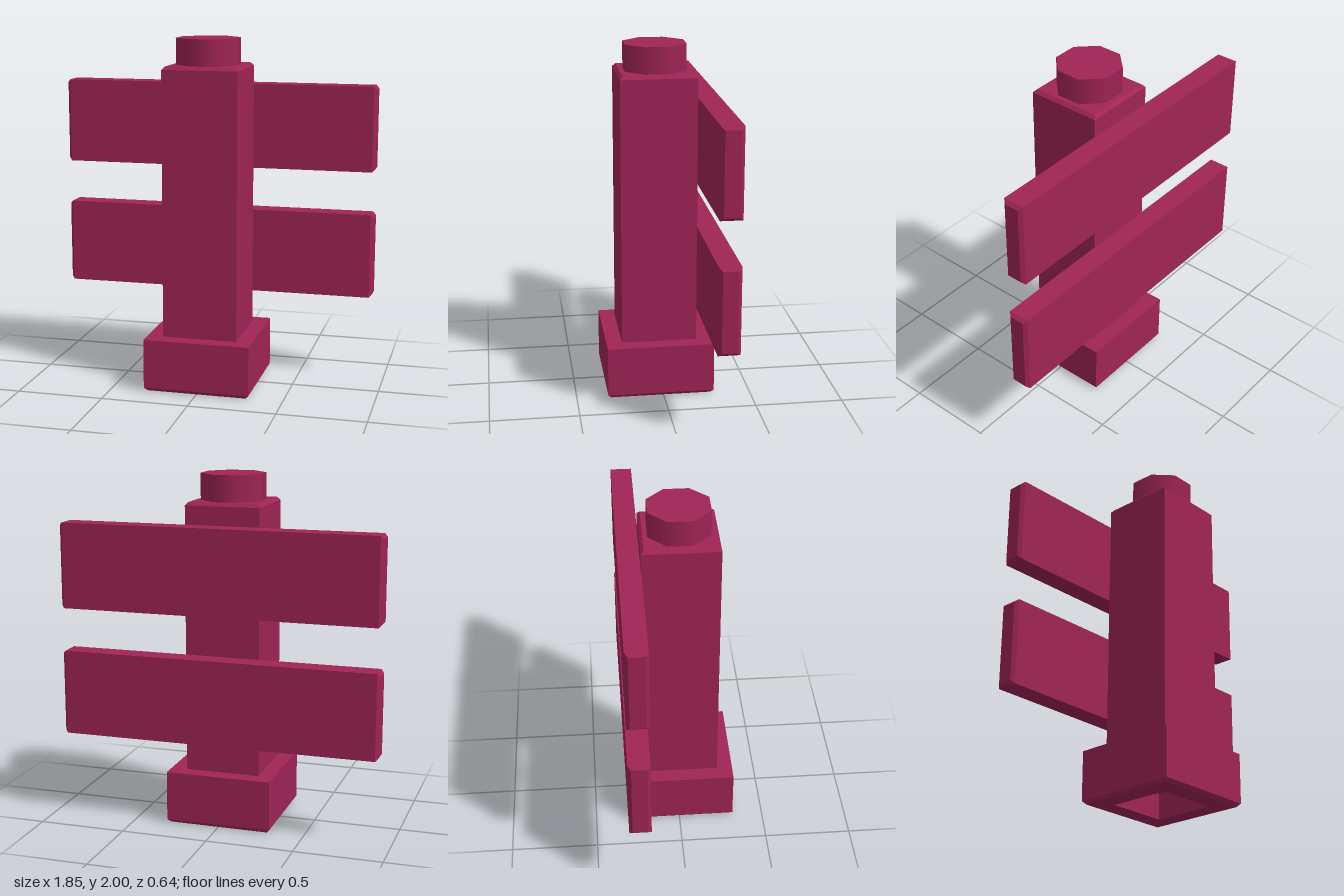
import * as THREE from 'three';

const material = new THREE.MeshStandardMaterial({ color: 0x9f2454 });
const POST_Z = 0.015;

function part(name, geometry, x, y, z) {
  const mesh = new THREE.Mesh(geometry, material);
  mesh.name = name;
  mesh.position.set(x, y, z);
  return mesh;
}

// Hard edges: every face gets its own normal
function faceted(geometry) {
  const flat = geometry.toNonIndexed();
  flat.computeVertexNormals();
  return flat;
}

// Square solid from a profile of [half width, height], listed bottom to top
function squareLathe(profile) {
  const points = profile.map(([r, y]) => new THREE.Vector2(r * Math.SQRT2, y));
  return faceted(new THREE.LatheGeometry(points, 4, Math.PI / 4));
}

// Plank whose two ends are chamfered all round
function plankGeometry(length, height, depth, chamfer) {
  const geometry = new THREE.BoxGeometry(length, height, depth, 3, 1, 1);
  const p = geometry.attributes.position;
  for (let i = 0; i < p.count; i++) {
    const x = p.getX(i);
    if (Math.abs(x) > length * 0.4) {
      p.setY(i, p.getY(i) - Math.sign(p.getY(i)) * chamfer);
      p.setZ(i, p.getZ(i) - Math.sign(p.getZ(i)) * chamfer);
    } else {
      p.setX(i, Math.sign(x) * (length / 2 - chamfer));
    }
  }
  return faceted(geometry);
}

export function createModel() {
  const model = new THREE.Group();
  model.name = 'fencePost';

  // Foot block with a chamfered lower edge and a square socket underneath
  model.add(part('base', squareLathe([
    [0, 0.15], [0.18, 0.15], [0.18, 0], [0.288, 0],
    [0.306, 0.02], [0.306, 0.305], [0, 0.305],
  ]), 0, 0, POST_Z));

  // Square post with a chamfered top
  model.add(part('post', squareLathe([
    [0.215, 0.3], [0.215, 1.832], [0.198, 1.85], [0, 1.85],
  ]), 0, 0, POST_Z));

  // Eight-sided peg on top, smooth around its side
  const peg = new THREE.CylinderGeometry(0.185, 0.185, 0.16, 8);
  peg.rotateY(Math.PI / 8);
  model.add(part('topPeg', peg, 0, 1.92, POST_Z));

  // Two planks across the back
  const plank = plankGeometry(1.85, 0.49, 0.122, 0.018);
  model.add(part('lowerPlank', plank, 0, 0.741, -0.26));
  model.add(part('upperPlank', plank, 0, 1.48, -0.26));

  return model;
}
